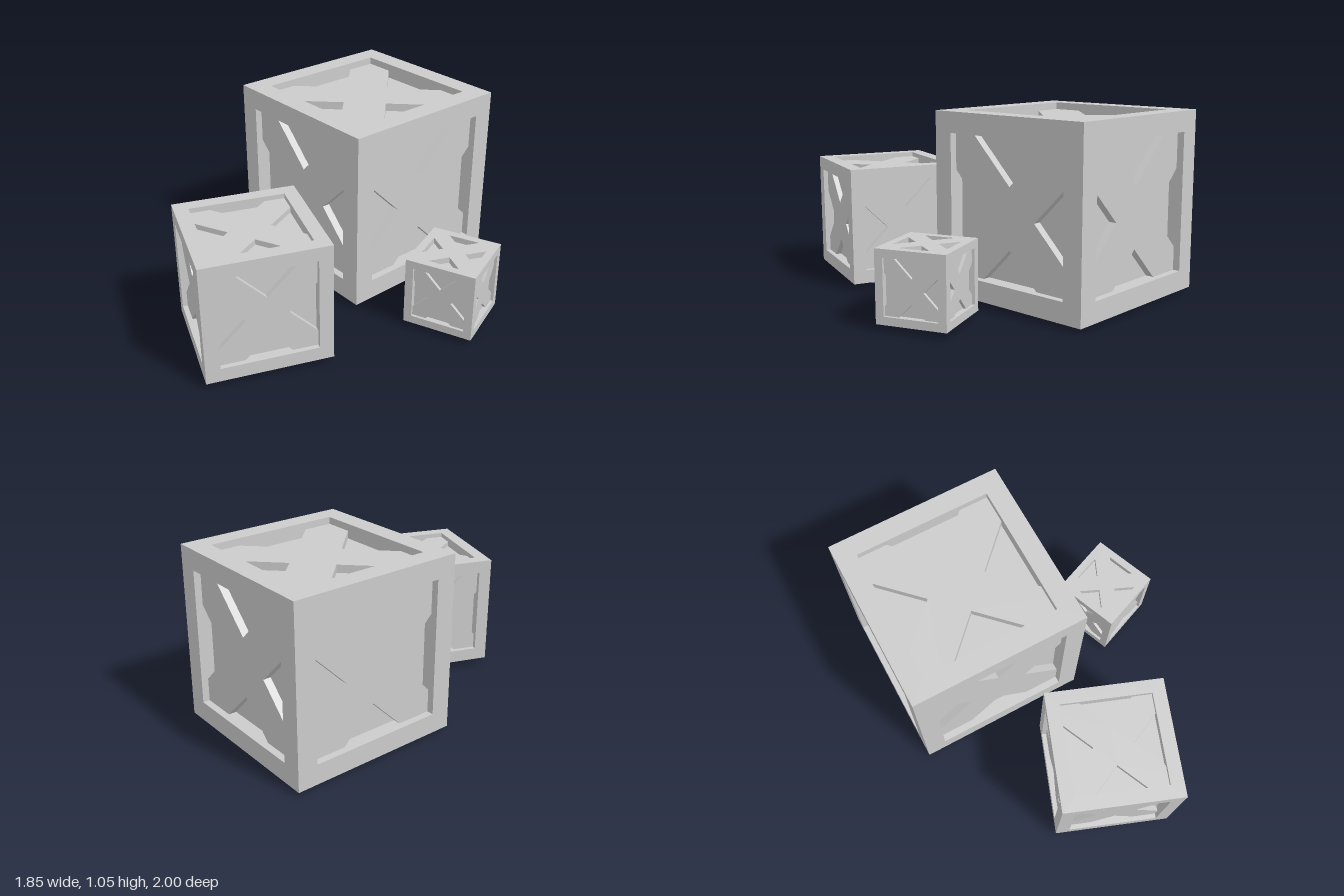
import * as THREE from 'three';

const material = new THREE.MeshStandardMaterial({ color: 0xcccccc, flatShading: true });

// Proportions of a crate with sides of length 1
const BEAM = 0.114;        // square section of the frame
const BRACE_RECESS = 0.04; // brace face behind the frame face
const BRACE_DEPTH = 0.05;
const PANEL_RECESS = 0.084;
const BRACE_HALF = 0.118;  // half the width of a brace bar
const BRACE_LENGTH = 0.569; // centre to bar end
const BRACE_DROP = 0.034;  // side braces sit low, so their tips poke out below

function mesh(name, geometry) {
  const m = new THREE.Mesh(geometry, material);
  m.name = name;
  return m;
}

function polygon(points) {
  return new THREE.Shape(points.map(([x, y]) => new THREE.Vector2(x, y)));
}

// Square ring lying flat, resting on y = 0
function ringGeometry() {
  const h = 0.5, i = 0.5 - BEAM;
  const shape = polygon([[-h, -h], [h, -h], [h, h], [-h, h]]);
  shape.holes.push(polygon([[-i, -i], [-i, i], [i, i], [i, -i]]));
  return new THREE.ExtrudeGeometry(shape, { depth: BEAM, bevelEnabled: false })
    .rotateX(-Math.PI / 2);
}

// Two crossed bars as one piece, front face on z = 0
function braceGeometry() {
  const w = BRACE_HALF, l = BRACE_LENGTH;
  const points = [];
  for (let k = 0; k < 4; k++) {
    const c = Math.round(Math.cos(k * Math.PI / 2));
    const s = Math.round(Math.sin(k * Math.PI / 2));
    for (const [x, y] of [[l, -w], [l, w], [w, w]]) points.push([x * c - y * s, x * s + y * c]);
  }
  return new THREE.ExtrudeGeometry(polygon(points), { depth: BRACE_DEPTH, bevelEnabled: false })
    .rotateZ(Math.PI / 4)
    .translate(0, 0, -BRACE_DEPTH);
}

const ring = ringGeometry();
const brace = braceGeometry();
const post = new THREE.BoxGeometry(BEAM, 1 - 2 * BEAM, BEAM);
const core = new THREE.BoxGeometry(...Array(3).fill(1 - 2 * PANEL_RECESS));

// A lid brace level with the frame is trimmed to the opening
function flushBraceGeometry() {
  const h = 0.5 - BEAM, a = BRACE_HALF * Math.SQRT2;
  const points = [];
  for (let k = 0; k < 4; k++) {
    const c = Math.round(Math.cos(k * Math.PI / 2));
    const s = Math.round(Math.sin(k * Math.PI / 2));
    for (const [x, y] of [[a, 0], [h, h - a], [h, h], [h - a, h]]) {
      points.push([x * c - y * s, x * s + y * c]);
    }
  }
  return new THREE.ExtrudeGeometry(polygon(points), { depth: PANEL_RECESS, bevelEnabled: false })
    .translate(0, 0, -PANEL_RECESS);
}

function makeCrate(name, { size, x, y, z, turn, flushLid = false }) {
  const crate = new THREE.Group();
  crate.name = name;

  // Panels behind the braces
  const panels = mesh('innerPanels', core);
  panels.position.y = 0.5;
  crate.add(panels);

  // Frame
  const bottom = mesh('bottomFrame', ring);
  const top = mesh('topFrame', ring);
  top.position.y = 1 - BEAM;
  crate.add(bottom, top);
  const p = 0.5 - BEAM / 2;
  for (const sx of [-1, 1]) {
    for (const sz of [-1, 1]) {
      const m = mesh('cornerPost', post);
      m.position.set(sx * p, 0.5, sz * p);
      crate.add(m);
    }
  }

  // Crossed braces on the four sides
  for (let k = 0; k < 4; k++) {
    const angle = k * Math.PI / 2, r = 0.5 - BRACE_RECESS;
    const m = mesh('sideBrace', brace);
    m.rotation.y = angle;
    m.position.set(Math.sin(angle) * r, 0.5 - BRACE_DROP, Math.cos(angle) * r);
    crate.add(m);
  }

  // Crossed brace on the lid
  const lid = mesh('lidBrace', flushLid ? flushBraceGeometry() : brace);
  lid.rotation.x = -Math.PI / 2;
  lid.position.y = flushLid ? 1 : 1 - BRACE_RECESS;
  crate.add(lid);

  crate.scale.setScalar(size);
  crate.position.set(x, y, z);
  crate.rotation.y = turn;
  return crate;
}

export function createModel() {
  const model = new THREE.Group();
  model.name = 'crates';
  model.add(
    makeCrate('largeCrate', { size: 1.027, x: 0.216, y: 0.021, z: -0.294, turn: 0.555 }),
    makeCrate('mediumCrate', { size: 0.67, x: -0.535, y: 0.034, z: 0.602, turn: 0.19 }),
    makeCrate('smallCrate', { size: 0.391, x: 0.553, y: 0.03, z: 0.565, turn: -0.643, flushLid: true }),
  );
  return model;
}
